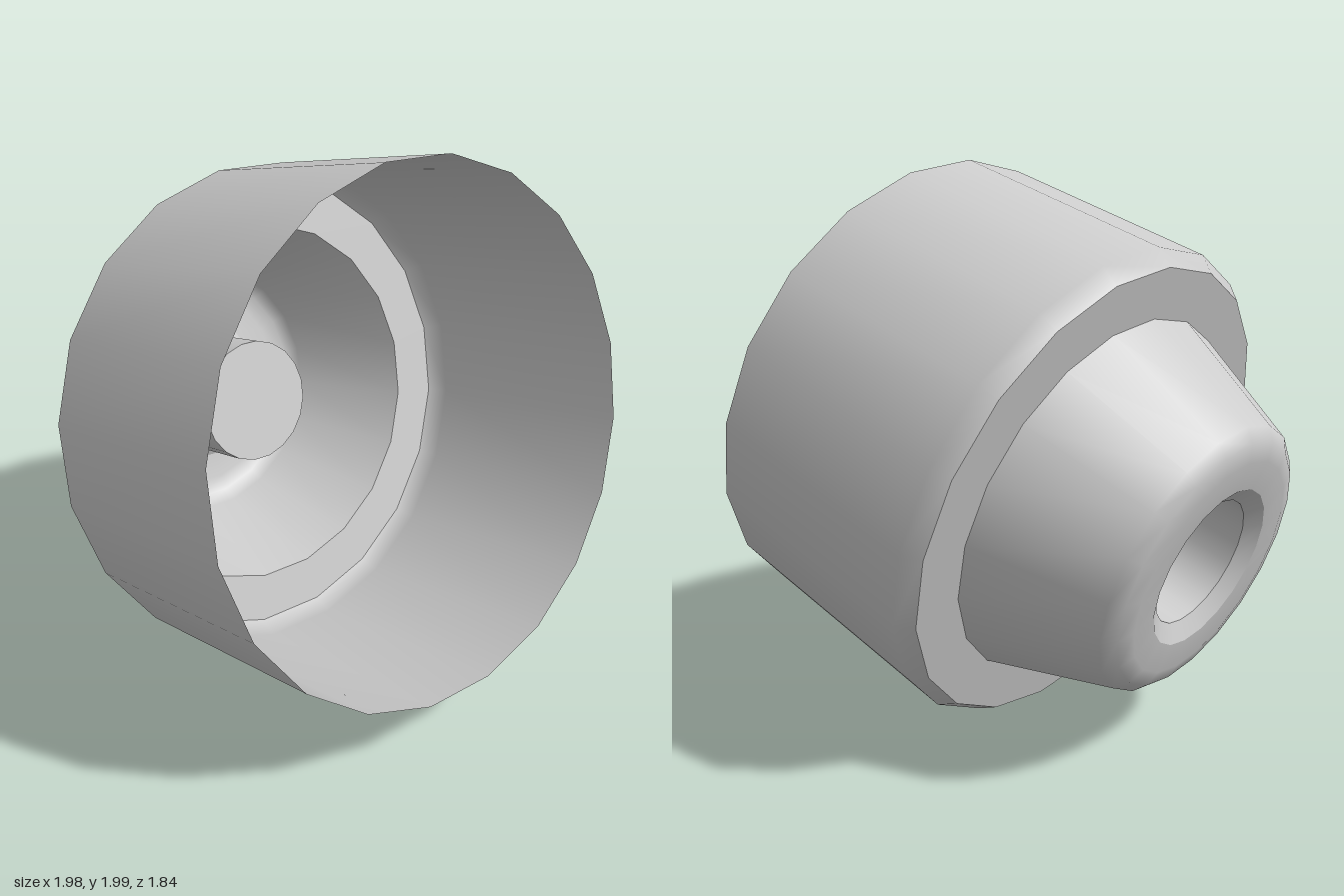
import * as THREE from 'three';

const SIDES = 20;
const material = new THREE.MeshStandardMaterial({ color: 0xcccccc, side: THREE.DoubleSide });

// One smooth band of the turned body; points are [radius, distance along axis]
function band(name, points) {
  const profile = points.map(([r, s]) => new THREE.Vector2(r, s));
  const geometry = new THREE.LatheGeometry(profile, SIDES, THREE.MathUtils.degToRad(2));
  const mesh = new THREE.Mesh(geometry, material);
  mesh.name = name;
  return mesh;
}

export function createModel() {
  // Everything shares one axis, with the open rim at distance 0
  const body = new THREE.Group();
  body.name = 'turnedCup';
  body.add(
    // Open sleeve with a small bevel at its rear edge
    band('sleeve', [[0.865, -0.94], [0.91, -0.88], [0.91, 0]]),
    // Flat shoulder
    band('shoulder', [[0.685, -0.94], [0.865, -0.94]]),
    // Tapered rear with a rounded end
    band('taperedEnd', [[0.295, -1.425], [0.40, -1.43], [0.46, -1.415], [0.505, -1.38], [0.685, -0.94]]),
    // Socket running forward from the rear hole, closed at its tip
    band('socketChamfer', [[0.235, -1.385], [0.295, -1.425]]),
    band('socketWall', [[0.235, -1.02], [0.235, -1.385]]),
    band('socketCap', [[0, -1.02], [0.235, -1.02]])
  );

  // Tip the axis forward, then pitch it up and turn it to the left
  body.rotation.set(
    THREE.MathUtils.degToRad(90 - 16.3), THREE.MathUtils.degToRad(17.2), 0, 'YXZ'
  );
  body.position.set(0.125, 1.125, 0.555);

  const model = new THREE.Group();
  model.name = 'model';
  model.add(body);
  return model;
}
